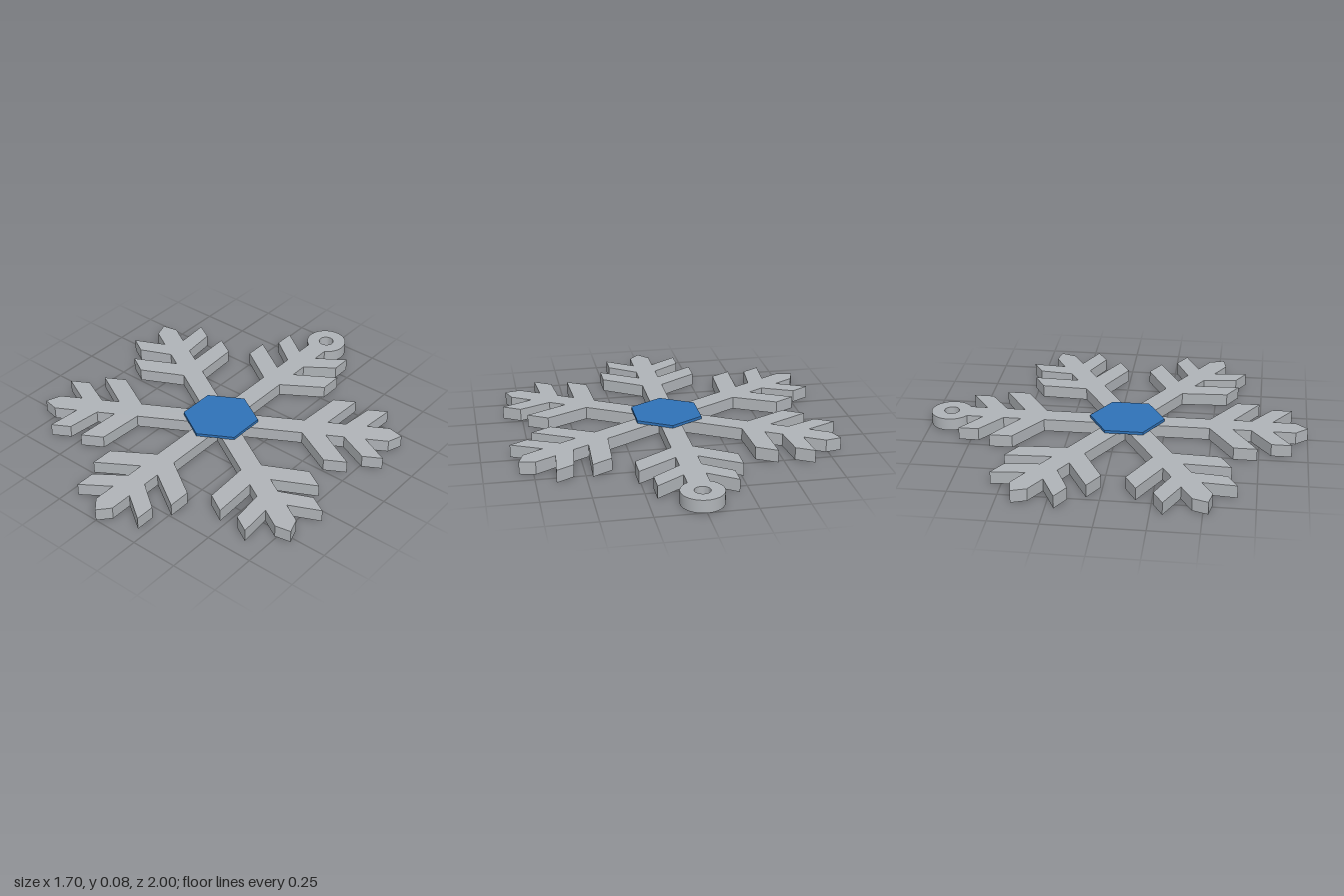
import * as THREE from 'three';
import { toCreasedNormals } from 'three/addons/utils/BufferGeometryUtils.js';

const CENTRE_Z = 0.052; // hub sits forward of the middle because of the hanging ring
const THICK = 0.066;
const RING = { y: 0.946, outer: 0.108, inner: 0.04 };

// Right half of one arm, from the hub outwards: [half width, distance from hub]
const ARM = [
  [0.055, 0.095], [0.055, 0.437], [0.26, 0.57], [0.26, 0.69], [0.055, 0.56],
  [0.055, 0.655], [0.2, 0.76], [0.2, 0.865], [0.055, 0.765],
];

function armOutline(hasRing) {
  const right = ARM.map(([x, y]) => new THREE.Vector2(x, y));
  const left = right.slice(1).reverse().map((p) => new THREE.Vector2(-p.x, p.y));
  const end = [];
  if (hasRing) {
    // Round eyelet in place of the pointed tip
    const start = -Math.acos(0.055 / RING.outer);
    const sweep = Math.PI - 2 * start;
    for (let i = 0; i <= 40; i++) {
      const a = start + (sweep * i) / 40;
      end.push(new THREE.Vector2(Math.cos(a) * RING.outer, RING.y + Math.sin(a) * RING.outer));
    }
  } else {
    end.push(new THREE.Vector2(0.055, 0.885), new THREE.Vector2(0, 0.948), new THREE.Vector2(-0.055, 0.885));
  }
  return [...right, ...end, ...left];
}

export function createModel() {
  const silver = new THREE.MeshStandardMaterial({ color: 0xb0b4b8 });
  silver.name = 'silver grey';
  const blue = new THREE.MeshStandardMaterial({ color: 0x2f72b8 });
  blue.name = 'blue';

  const model = new THREE.Group();
  model.name = 'snowflakeOrnament';

  // Six arms joined into a single outline
  const points = [];
  const origin = new THREE.Vector2();
  for (let k = 0; k < 6; k++) {
    for (const p of armOutline(k === 0)) points.push(p.rotateAround(origin, (k * Math.PI) / 3));
  }
  const shape = new THREE.Shape(points);
  const hole = new THREE.Path();
  hole.absarc(0, RING.y, RING.inner, 0, Math.PI * 2, true);
  shape.holes.push(hole);

  const flakeGeometry = new THREE.ExtrudeGeometry(shape, { depth: THICK, bevelEnabled: false, curveSegments: 16 });
  flakeGeometry.rotateX(-Math.PI / 2);
  const flake = new THREE.Mesh(toCreasedNormals(flakeGeometry, Math.PI / 6), silver);
  flake.name = 'snowflake';
  flake.position.z = CENTRE_Z;
  model.add(flake);

  // Raised hexagonal plate on the hub
  const plateHeight = 0.015;
  const plateGeometry = new THREE.CylinderGeometry(0.198, 0.198, plateHeight, 6);
  const plate = new THREE.Mesh(toCreasedNormals(plateGeometry, Math.PI / 6), blue);
  plate.name = 'centreHexagon';
  plate.position.set(0, THICK + plateHeight / 2, CENTRE_Z);
  model.add(plate);

  return model;
}
